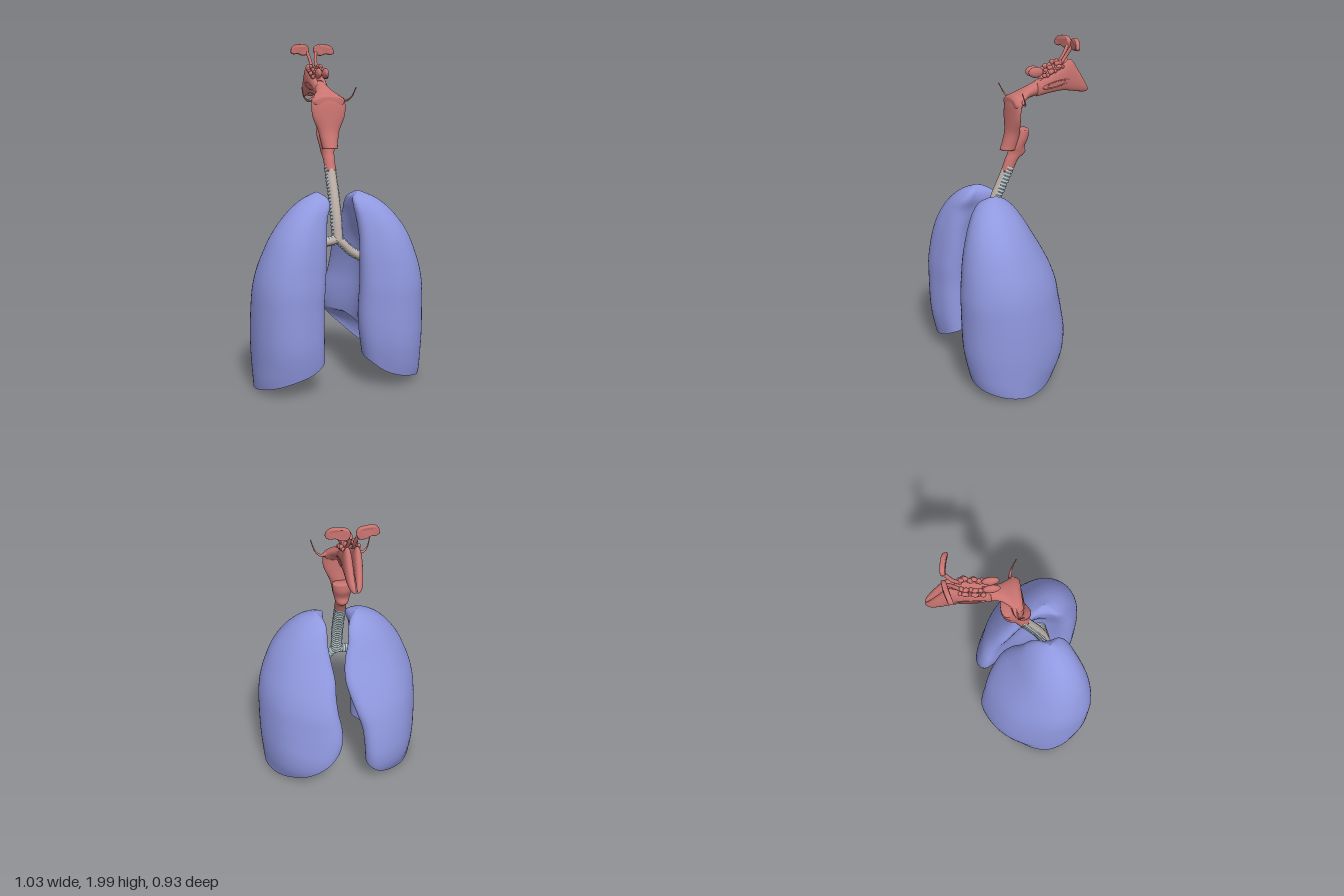
import * as THREE from 'three';

const V = (x, y, z) => new THREE.Vector3(x, y, z);
const lungBlue = new THREE.MeshStandardMaterial({ color: 0x9098df, side: THREE.DoubleSide });
const throatRed = new THREE.MeshStandardMaterial({ color: 0xc97470 });
const cartilageGrey = new THREE.MeshStandardMaterial({ color: 0xb8c8cd });
const membraneBeige = new THREE.MeshStandardMaterial({ color: 0xbcaea7 });

function add(parent, name, geometry, material) {
  const mesh = new THREE.Mesh(geometry, material);
  mesh.name = name;
  parent.add(mesh);
  return mesh;
}

// Skin closed rings of points; optional caps close both ends
function loft(rings, { flip = false, caps = false } = {}) {
  if (caps) {
    const centre = r => {
      const c = r.reduce((s, p) => s.add(p), V(0, 0, 0)).divideScalar(r.length);
      return r.map(() => c);
    };
    rings = [centre(rings[0]), ...rings, centre(rings[rings.length - 1])];
  }
  const n = rings[0].length, index = [];
  for (let i = 0; i < rings.length - 1; i++) {
    for (let j = 0; j < n; j++) {
      const a = i * n + j, b = i * n + (j + 1) % n, c = a + n, d = b + n;
      if (flip) index.push(a, c, b, b, c, d);
      else index.push(a, b, c, b, d, c);
    }
  }
  const g = new THREE.BufferGeometry().setFromPoints(rings.flat());
  g.setIndex(index);
  g.computeVertexNormals();
  return g;
}

// Ellipse rings smoothed through a few stations
function smoothStations(rows, count, ringAt) {
  const t = rows.map((_, i) => i / (rows.length - 1));
  const interp = new THREE.CubicInterpolant(t, rows.flat(), rows[0].length);
  return Array.from({ length: count + 1 }, (_, i) => ringAt([...interp.evaluate(i / count)]));
}
const angles = Array.from({ length: 28 }, (_, i) => i / 28 * Math.PI * 2);
// [y, z centre, x radius, z radius], listed top to bottom
const uprightRing = ([y, z, rx, rz]) => angles.map(a => V(rx * Math.cos(a), y, z + rz * Math.sin(a)));
// [z, bottom, top, half width], listed from -z to +z
const lengthRing = cx => ([z, b, t, w]) =>
  angles.map(a => V(cx(w) + w * Math.cos(a), (b + t) / 2 + (t - b) / 2 * Math.sin(a), z));

// Lung limits: y, z front, z back, outer x, then inner x front/back for the left and right lung
const LUNG = [
  [0.00, -0.12, 0.37, 0.500, 0.12, 0.160, 0.14, 0.13],
  [0.06, -0.16, 0.41, 0.505, 0.11, 0.140, 0.13, 0.11],
  [0.15, -0.215, 0.435, 0.510, 0.08, 0.120, 0.12, 0.105],
  [0.27, -0.24, 0.455, 0.515, 0.04, 0.100, 0.11, 0.11],
  [0.40, -0.23, 0.46, 0.515, 0.00, 0.090, 0.10, 0.115],
  [0.50, -0.21, 0.46, 0.512, 0.00, 0.090, 0.085, 0.12],
  [0.60, -0.185, 0.46, 0.505, 0.02, 0.090, 0.05, 0.12],
  [0.70, -0.145, 0.45, 0.485, 0.03, 0.090, 0.015, 0.12],
  [0.80, -0.095, 0.435, 0.450, 0.03, 0.090, -0.01, 0.12],
  [0.90, -0.035, 0.41, 0.405, 0.05, 0.090, 0.00, 0.115],
  [1.00, 0.025, 0.37, 0.335, 0.07, 0.080, 0.04, 0.10],
  [1.07, 0.075, 0.325, 0.265, 0.07, 0.070, 0.055, 0.07],
  [1.11, 0.12, 0.28, 0.205, 0.08, 0.075, 0.08, 0.075],
  [1.135, 0.17, 0.23, 0.145, 0.11, 0.110, 0.11, 0.11],
];
// Lung outline: across (0 inner, 1 outer), front-to-back, rim height of the left and right lung
const OUTLINE = [
  [0.15, 0, 0.26, 0.17], [0.45, 0.05, 0.11, 0.06], [0.75, 0.2, 0.03, 0.012], [0.94, 0.42, 0.008, 0.005],
  [1, 0.6, 0.01, 0.008], [0.95, 0.78, 0.025, 0.025], [0.78, 0.93, 0.05, 0.055], [0.5, 1, 0.075, 0.1],
  [0.25, 0.97, 0.11, 0.13], [0.07, 0.9, 0.17, 0.17], [0, 0.78, 0.2, 0.19], [0, 0.62, 0.24, 0.21],
  [0, 0.48, 0.28, 0.22], [0, 0.34, 0.33, 0.23], [0, 0.2, 0.37, 0.24], [0.02, 0.07, 0.35, 0.22],
];

function makeLung(side) {
  const lung = new THREE.Group();
  lung.name = side > 0 ? 'leftLung' : 'rightLung';
  const limits = new THREE.CubicInterpolant(LUNG.map(r => r[0]), LUNG.flatMap(r => r.slice(1)), 7);
  const outline = new THREE.CatmullRomCurve3(
    OUTLINE.map(([u, v, left, right]) => V(u, side > 0 ? left : right, v)), true).getPoints(80).slice(0, -1);
  const surface = (p, y) => {
    const [zA, zP, out, lA, lP, rA, rP] = limits.evaluate(y);
    const inner = side > 0 ? THREE.MathUtils.lerp(lA, lP, p.z) : THREE.MathUtils.lerp(rA, rP, p.z);
    // Inner face is scooped out, less so near the tip
    const depth = 0.27 - 0.19 * THREE.MathUtils.smoothstep(y, 0.8, 1.05);
    const v = THREE.MathUtils.clamp(p.z, 0, 0.9) / 0.9;
    const u = p.x + depth * Math.pow(Math.max(0, 1 - p.x), 6) * Math.sin(Math.PI * v) ** 2;
    return V(side * (inner + (out - inner) * u), y, zA + (zP - zA) * p.z);
  };
  // Outer wall from the rounded tip down to the slanted rim
  const wall = [outline.map(() => V(side * 0.127, 1.142, 0.2))];
  for (let i = 0; i <= 44; i++) {
    const s = Math.pow(i / 44, 1.6);
    wall.push(outline.map(p => surface(p, THREE.MathUtils.lerp(1.135, Math.max(p.y, 0.003), s))));
  }
  add(lung, 'lungWall', loft(wall, { flip: side < 0 }), lungBlue);
  // Hollow underside rising into a dome
  const rim = wall[wall.length - 1], top = V(side * 0.3, 0.34, 0.13), dome = [];
  for (let i = 0; i <= 14; i++) {
    const a = i / 14 * Math.PI / 2;
    dome.push(rim.map(p => V(
      top.x + (p.x - top.x) * Math.cos(a),
      p.y + (top.y - p.y) * Math.sin(a),
      top.z + (p.z - top.z) * Math.cos(a))));
  }
  add(lung, 'lungBase', loft(dome, { flip: side < 0 }), lungBlue);
  return lung;
}

// Airway: grey ringed tube with a beige membrane along its back (+z)
function makeAirway(name, points, radius, ringCount) {
  const g = new THREE.Group();
  g.name = name;
  const curve = new THREE.CatmullRomCurve3(points.map(p => V(...p)));
  const backAt = t => V(0, 0, 1).addScaledVector(t, -t.z).normalize();
  add(g, 'airwayWall', new THREE.TubeGeometry(curve, 30, radius, 20), cartilageGrey);
  const backLine = Array.from({ length: 13 }, (_, i) =>
    curve.getPointAt(i / 12).addScaledVector(backAt(curve.getTangentAt(i / 12)), radius * 0.16));
  add(g, 'membrane', new THREE.TubeGeometry(new THREE.CatmullRomCurve3(backLine), 30, radius * 0.91, 20), membraneBeige);
  const gap = Math.PI * 0.6;
  const ringGeo = new THREE.TorusGeometry(radius - 0.001, 0.006, 8, 24, Math.PI * 2 - gap)
    .rotateZ(gap / 2).scale(1, 1, 1.45);
  for (let i = 0; i < ringCount; i++) {
    const u = (i + 0.5) / ringCount, t = curve.getTangentAt(u), back = backAt(t);
    const ring = add(g, 'cartilageRing', ringGeo, cartilageGrey);
    ring.quaternion.setFromRotationMatrix(new THREE.Matrix4().makeBasis(back, t.clone().cross(back), t));
    ring.position.copy(curve.getPointAt(u));
  }
  return g;
}

function makeThroat() {
  const g = new THREE.Group();
  g.name = 'throat';
  add(g, 'larynx', loft(smoothStations([
    [1.49, -0.04, 0.06, 0.032], [1.44, -0.025, 0.057, 0.046], [1.39, -0.005, 0.048, 0.046],
    [1.35, -0.002, 0.039, 0.054], [1.31, 0.03, 0.034, 0.04], [1.245, 0.058, 0.033, 0.036],
  ], 24, uprightRing), { caps: true }), throatRed);
  add(g, 'pharynx', loft(smoothStations([
    [1.675, 0.005, 0.095, 0.032], [1.63, 0.02, 0.105, 0.028], [1.56, 0.024, 0.098, 0.032],
    [1.48, 0.025, 0.066, 0.04], [1.42, 0.038, 0.052, 0.045], [1.375, 0.052, 0.045, 0.048],
  ], 24, uprightRing), { caps: true }), throatRed);
  add(g, 'upperPharynx', loft(smoothStations([
    [-0.16, 1.683, 1.775, 0.042], [-0.08, 1.67, 1.74, 0.047], [-0.035, 1.65, 1.718, 0.07],
    [0.0, 1.61, 1.70, 0.098], [0.025, 1.60, 1.692, 0.1], [0.042, 1.62, 1.675, 0.085],
  ], 24, lengthRing(() => 0)), { caps: true }), throatRed);
  return g;
}

function makeNasalHalf(s) {
  const g = new THREE.Group();
  g.name = s > 0 ? 'leftNasalHalf' : 'rightNasalHalf';
  add(g, 'nasalCavity', loft(smoothStations([
    [-0.464, 1.684, 1.692, 0.004], [-0.452, 1.679, 1.712, 0.011], [-0.43, 1.677, 1.745, 0.017],
    [-0.39, 1.682, 1.805, 0.0215], [-0.335, 1.692, 1.875, 0.024], [-0.285, 1.698, 1.85, 0.024],
    [-0.2, 1.69, 1.80, 0.024], [-0.12, 1.676, 1.75, 0.021],
  ], 36, lengthRing(w => s * (w + 0.002))), { caps: true }), throatRed);
  // Slim oval fold on the side wall
  const fold = add(g, 'nasalFold', new THREE.TorusGeometry(0.05, 0.011, 8, 32), throatRed);
  fold.scale.set(1.45, 0.32, 0.6);
  fold.rotation.set(0, Math.PI / 2, 0.2, 'YZX');
  fold.position.set(s * 0.046, 1.742, -0.235);
  // Rear sinus
  const rear = add(g, 'rearSinus', new THREE.SphereGeometry(1, 20, 14), throatRed);
  rear.scale.set(0.018, 0.031, 0.046);
  rear.position.set(s * 0.022, 1.815, -0.115);
  // Loose cluster of small air cells
  const cell = new THREE.SphereGeometry(0.0135, 12, 9);
  for (let k = 0; k < 16; k++) {
    const row = k % 2, step = Math.floor(k / 2), wobble = Math.sin(k * 5.3);
    const m = add(g, 'airCell', cell, throatRed);
    m.scale.set(0.9, 1 + 0.3 * Math.sin(k * 3.1), 1.1 + 0.3 * wobble);
    m.position.set(s * ((row ? 0.027 : 0.042) + 0.004 * wobble),
      1.795 + 0.007 * step + 0.022 * row + 0.006 * wobble, -0.165 - 0.0155 * step + 0.006 * Math.cos(k * 2.1));
  }
  // Lobed brow sinus, curved backwards, with its stalk
  const lobes = [[0.03, 1.941], [0.022, 1.966], [0.035, 1.987], [0.07, 1.991], [0.1, 1.989],
    [0.122, 1.976], [0.132, 1.95], [0.116, 1.943], [0.09, 1.947], [0.06, 1.937]];
  const shape = new THREE.Shape(new THREE.SplineCurve(
    [...lobes, lobes[0]].map(([x, y]) => new THREE.Vector2(s * x, y))).getPoints(50).slice(0, -1));
  const brow = new THREE.ExtrudeGeometry(shape,
    { depth: 0.008, bevelThickness: 0.009, bevelSize: 0.008, bevelSegments: 4 });
  const pos = brow.attributes.position;
  for (let i = 0; i < pos.count; i++) pos.setZ(i, pos.getZ(i) - 0.352 + 1.4 * pos.getX(i) ** 2);
  brow.computeVertexNormals();
  add(g, 'browSinus', brow, throatRed);
  add(g, 'sinusStalk', new THREE.TubeGeometry(new THREE.CatmullRomCurve3(
    [V(s * 0.02, 1.84, -0.265), V(s * 0.016, 1.89, -0.305), V(s * 0.028, 1.95, -0.342)]), 12, 0.01, 10), throatRed);
  // Tapering ear tube
  const ear = new THREE.CatmullRomCurve3([V(s * 0.085, 1.665, -0.005), V(s * 0.115, 1.655, -0.003),
    V(s * 0.145, 1.675, 0.01), V(s * 0.167, 1.735, 0.038)]);
  const tube = new THREE.TubeGeometry(ear, 20, 1, 10);
  const tp = tube.attributes.position;
  for (let i = 0; i < tp.count; i++) {
    const u = Math.floor(i / 11) / 20, c = ear.getPointAt(u);
    const p = V(0, 0, 0).fromBufferAttribute(tp, i).sub(c).multiplyScalar(0.003 + 0.011 * (1 - u) ** 3).add(c);
    tp.setXYZ(i, p.x, p.y, p.z);
  }
  tube.computeVertexNormals();
  add(g, 'earTube', tube, throatRed);
  return g;
}

export function createModel() {
  const model = new THREE.Group();
  model.name = 'respiratorySystem';
  model.add(makeThroat());
  for (const s of [1, -1]) model.add(makeLung(s), makeNasalHalf(s));
  model.add(
    makeAirway('trachea', [[0, 1.275, 0.045], [0, 1.19, 0.085], [0, 1.105, 0.125], [0, 0.97, 0.175], [0, 0.85, 0.2]], 0.031, 22),
    makeAirway('rightBronchus', [[0, 0.86, 0.2], [-0.05, 0.85, 0.205], [-0.1, 0.845, 0.205], [-0.22, 0.82, 0.19]], 0.025, 12),
    makeAirway('leftBronchus', [[0, 0.86, 0.2], [0.04, 0.825, 0.205], [0.08, 0.785, 0.205], [0.2, 0.72, 0.19]], 0.024, 12),
    makeAirway('rightUpperBranch', [[-0.08, 0.85, 0.195], [-0.12, 0.89, 0.18], [-0.2, 0.92, 0.17]], 0.014, 8),
  );
  return model;
}
